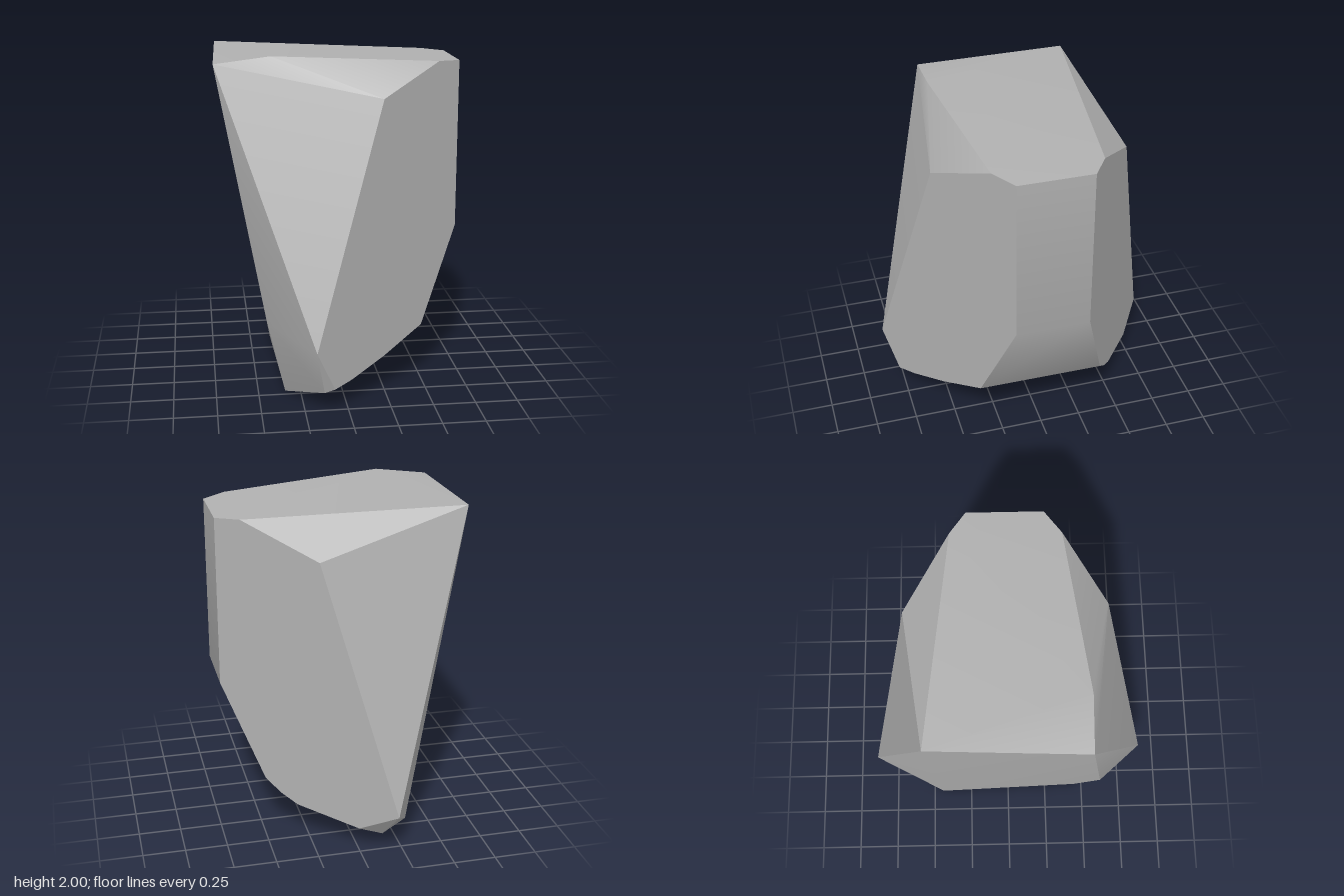
import * as THREE from 'three';
import { ConvexGeometry } from 'three/addons/geometries/ConvexGeometry.js';
import { toCreasedNormals } from 'three/addons/utils/BufferGeometryUtils.js';

// The two large cleaved sides are vertical planes meeting the narrow +x face.
const cleaveZ = (x) => 0.22 + 0.705 * (0.72 - x);

export function createModel() {
  const group = new THREE.Group();
  group.name = 'rock';
  const stone = new THREE.MeshStandardMaterial({ color: 0xb0b0b0 });
  stone.name = 'stone grey';

  // Corners on the front cleaved side: x, y
  const frontSide = [
    [0.72, 1.93], [0.58, 1.94], [0.22, 1.77], [-0.19, 0.39], [-0.08, 0.14],
    [0.03, 0.165], [0.235, 0.24], [0.49, 0.36], [0.72, 0.93],
  ];
  // Corners on the back cleaved side: x, y
  const backSide = [
    [0.72, 1.93], [0.59, 1.935], [0.2, 1.74], [-0.2, 0.26], [0, 0.14],
    [0.32, 0.22], [0.41, 0.28], [0.49, 0.36], [0.72, 0.93],
  ];
  // Remaining corners of the crown, the sloping -x side and the foot
  const others = [
    [-0.72, 1.96, 0.44], [-0.4, 2, 0.445], [-0.69, 1.98, -0.46],
    [-0.45, 0.49, 0.59], [-0.14, 0.12, 0.78],
    [-0.34, 0, 0.45], [-0.37, 0, -0.44], [-0.14, 0.09, -0.73],
  ];

  const points = [
    ...frontSide.map(([x, y]) => new THREE.Vector3(x, y, cleaveZ(x))),
    ...backSide.map(([x, y]) => new THREE.Vector3(x, y, -cleaveZ(x))),
    ...others.map((p) => new THREE.Vector3(...p)),
  ];

  // Soft shading across shallow bends, sharp edges elsewhere
  const body = new THREE.Mesh(toCreasedNormals(new ConvexGeometry(points), 0.53), stone);
  body.name = 'stoneBody';
  group.add(body);
  return group;
}
